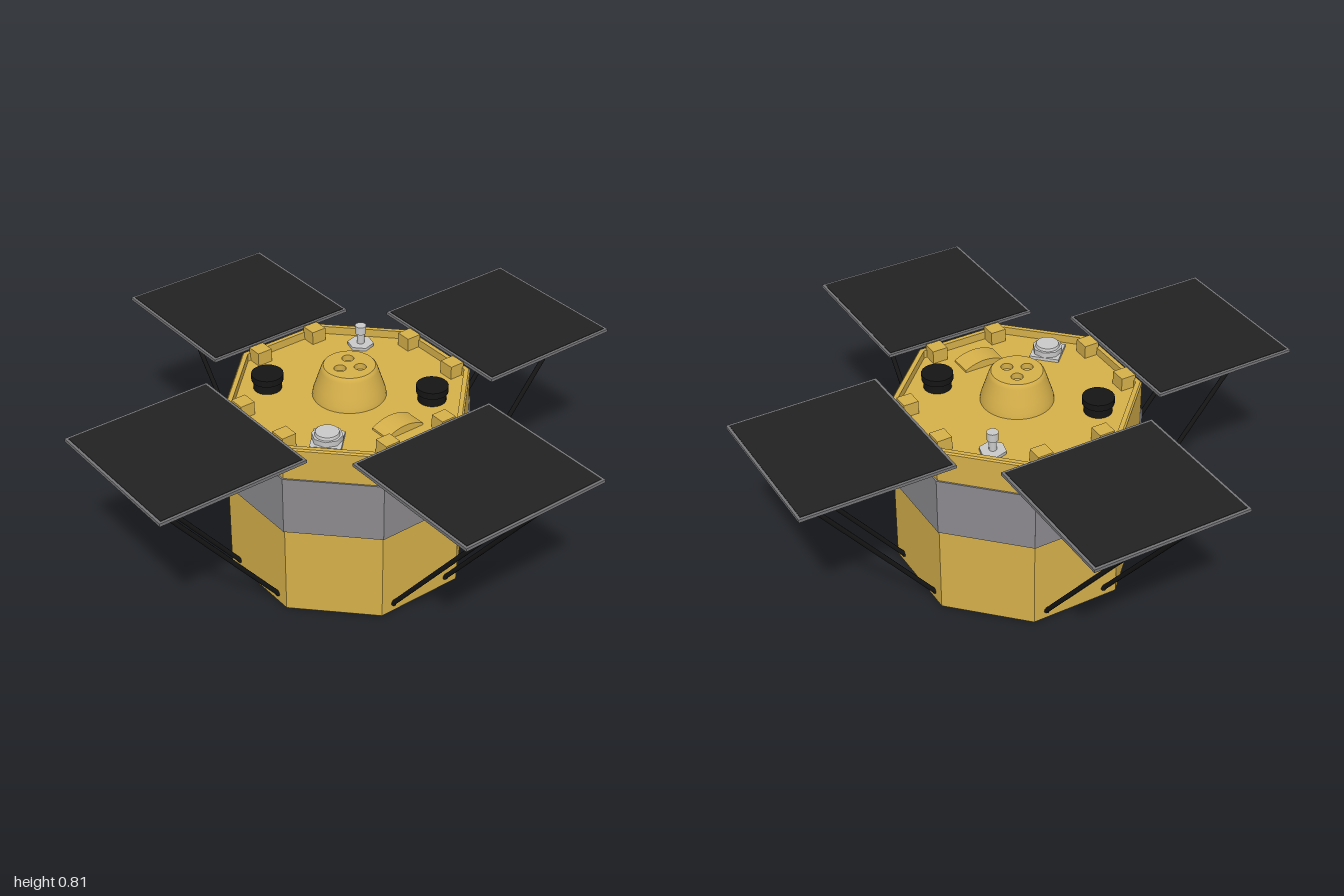
import * as THREE from 'three';

const mat = (name, color) => {
  const m = new THREE.MeshStandardMaterial({ color });
  m.name = name;
  return m;
};

export function createModel() {
  const gold = mat('gold', 0xd6b04a);
  const grey = mat('band grey', 0x8c8a8e);
  const frameGrey = mat('frame grey', 0x77777a);
  const cellBlack = mat('cell black', 0x222222);
  const black = mat('strut black', 0x151515);
  const silver = mat('silver', 0xcacaca);

  const model = new THREE.Group();
  model.name = 'spacecraft';
  const add = (parent, name, geometry, material, x = 0, y = 0, z = 0) => {
    const mesh = new THREE.Mesh(geometry, material);
    mesh.name = name;
    mesh.position.set(x, y, z);
    parent.add(mesh);
    return mesh;
  };
  const box = (w, h, d) => new THREE.BoxGeometry(w, h, d);
  const cyl = (rTop, rBottom, h, n = 32) => new THREE.CylinderGeometry(rTop, rBottom, h, n);

  const APOTHEM = 0.425, DECK = 0.685, TOP = 0.716;
  const R = APOTHEM / Math.cos(Math.PI / 8);

  // Octagonal body with a recessed top deck and a thin rim
  const profile = [[0, 0], [R - 0.006, 0], [R, 0.006], [R, TOP - 0.006], [R - 0.006, TOP],
    [R - 0.024, TOP], [R - 0.024, DECK], [0, DECK]].map(p => new THREE.Vector2(...p));
  const bodyGeo = new THREE.LatheGeometry(profile, 8, Math.PI / 8).toNonIndexed();
  bodyGeo.computeVertexNormals();
  add(model, 'body', bodyGeo, gold);

  // Grey band on six of the eight sides
  for (let i = 0; i < 8; i++) {
    if (i === 1 || i === 5) continue;
    const side = new THREE.Group();
    side.name = 'bandSide';
    side.rotation.y = i * Math.PI / 4;
    add(side, 'bandPanel', box(0.357, 0.23, 0.008), grey, 0, 0.475, APOTHEM + 0.002);
    model.add(side);
  }

  // Four solar wings, each with two hinges and two struts
  for (let i = 0; i < 4; i++) {
    const wing = new THREE.Group();
    wing.name = 'solarWing';
    wing.rotation.y = i * Math.PI / 2;
    add(wing, 'panelFrame', box(0.61, 0.012, 0.585), frameGrey, 0, 0.73, 0.7075);
    for (const y of [0.7365, 0.7235]) {
      add(wing, 'solarCells', box(0.59, 0.003, 0.565), cellBlack, 0, y, 0.7075);
    }
    for (const s of [-1, 1]) {
      add(wing, 'hinge', box(0.06, 0.052, 0.058), gold, s * 0.125, DECK + 0.026, 0.38);
      const foot = new THREE.Vector3(s * 0.123, 0.04, 0.425);
      const tip = new THREE.Vector3(s * 0.123, 0.724, 0.972);
      const path = new THREE.LineCurve3(foot, tip);
      add(wing, 'strut', new THREE.TubeGeometry(path, 1, 0.009, 10), black);
      add(wing, 'strutFoot', new THREE.SphereGeometry(0.011, 10, 8), black, foot.x, foot.y, foot.z);
    }
    model.add(wing);
  }

  // Central dome: tapered wall and a cap with three round recesses
  const dome = new THREE.Group();
  dome.name = 'dome';
  const wall = [[0.135, DECK], [0.132, 0.705], [0.122, 0.735], [0.104, 0.79], [0.1, 0.8], [0.094, 0.807]];
  add(dome, 'domeWall', new THREE.LatheGeometry(wall.map(p => new THREE.Vector2(...p)), 40), gold);
  const cap = new THREE.Shape();
  cap.absarc(0, 0, 0.094, 0, Math.PI * 2);
  for (let i = 0; i < 3; i++) {
    const a = Math.PI + i * Math.PI * 2 / 3;
    const hole = new THREE.Path();
    hole.absarc(0.042 * Math.cos(a), 0.042 * Math.sin(a), 0.022, 0, Math.PI * 2, true);
    cap.holes.push(hole);
  }
  const capGeo = new THREE.ExtrudeGeometry(cap, { depth: 0.025, bevelEnabled: false, curveSegments: 20 });
  capGeo.rotateX(-Math.PI / 2);
  add(dome, 'domeCap', capGeo, gold, 0, 0.782, 0);
  add(dome, 'recessFloor', cyl(0.09, 0.09, 0.005), gold, 0, 0.7815, 0);
  model.add(dome);

  // Two black canisters with ribbed collars
  for (const s of [-1, 1]) {
    const canister = new THREE.Group();
    canister.name = 'canister';
    canister.position.set(s * 0.212, DECK, s * 0.213);
    add(canister, 'canisterBody', cyl(0.052, 0.052, 0.04), black, 0, 0.02, 0);
    add(canister, 'canisterCollar', cyl(0.059, 0.059, 0.025, 20), black, 0, 0.0475, 0);
    model.add(canister);
  }

  // Low arched housing near the front edge of the deck
  const arch = new THREE.Shape();
  arch.moveTo(-0.08, 0);
  arch.lineTo(0.08, 0);
  arch.lineTo(0.08, 0.008);
  arch.quadraticCurveTo(0, 0.052, -0.08, 0.008);
  const archGeo = new THREE.ExtrudeGeometry(arch, { depth: 0.084, bevelEnabled: false, curveSegments: 16 });
  add(model, 'archedHousing', archGeo, gold, 0, DECK, 0.237);

  // Wide silver sensor on a diamond base
  const sensor = new THREE.Group();
  sensor.name = 'wideSensor';
  sensor.position.set(-0.25, DECK, 0.2);
  add(sensor, 'sensorBase', box(0.112, 0.012, 0.112), silver, 0, 0.006, 0).rotation.y = Math.PI / 4;
  add(sensor, 'sensorDrum', cyl(0.056, 0.056, 0.022, 8), silver, 0, 0.022, 0);
  add(sensor, 'sensorLid', cyl(0.042, 0.045, 0.012), silver, 0, 0.038, 0);
  model.add(sensor);

  // Slim silver post antenna
  const antenna = new THREE.Group();
  antenna.name = 'postAntenna';
  antenna.position.set(0.238, DECK, -0.24);
  add(antenna, 'antennaBase', cyl(0.05, 0.05, 0.012, 6), silver, 0, 0.006, 0).rotation.y = Math.PI / 4;
  add(antenna, 'antennaPost', cyl(0.014, 0.014, 0.05, 20), silver, 0, 0.035, 0);
  add(antenna, 'antennaHead', cyl(0.021, 0.021, 0.032, 24), silver, 0, 0.07, 0);
  model.add(antenna);

  return model;
}
